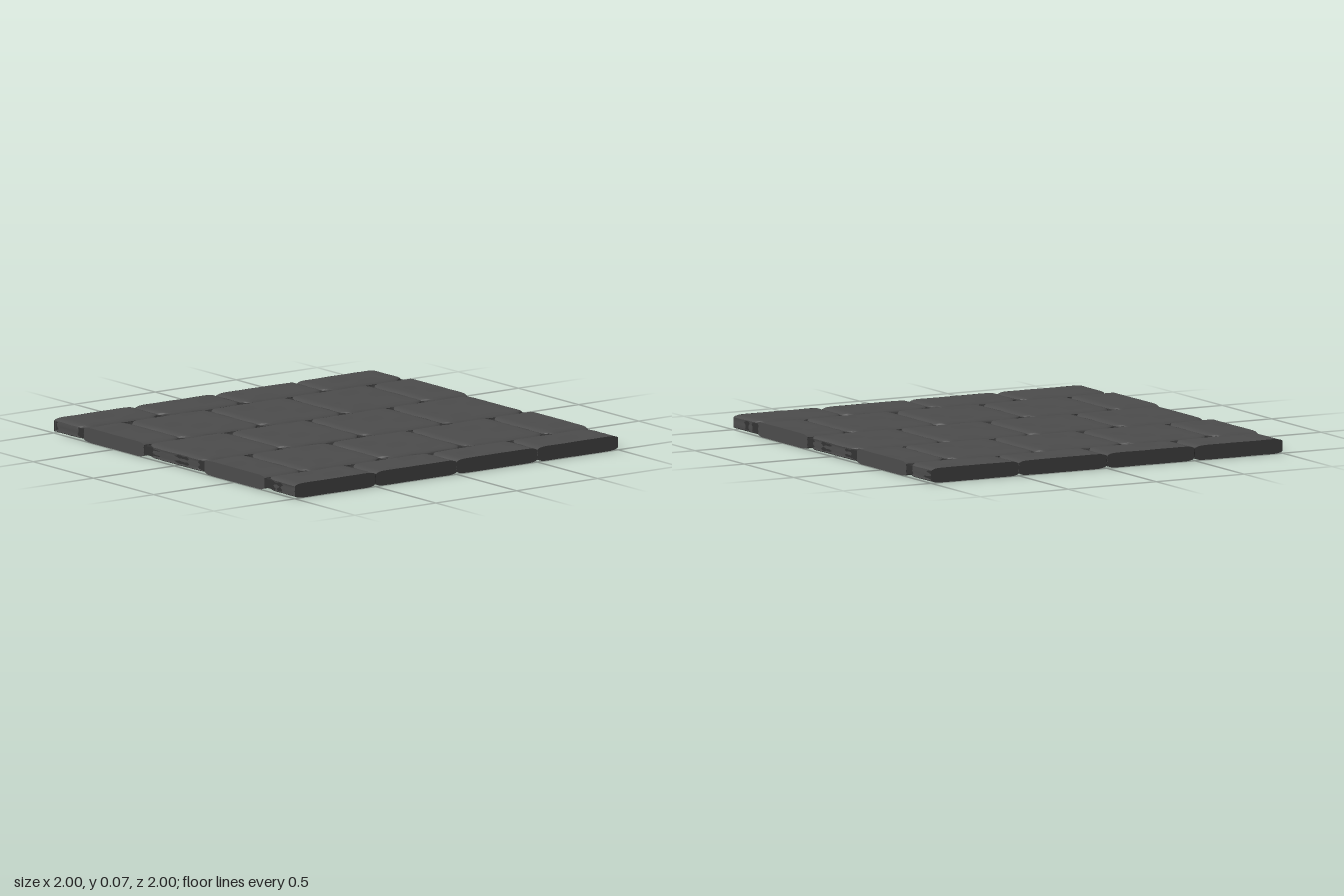
import * as THREE from 'three';
import { toCreasedNormals } from 'three/addons/utils/BufferGeometryUtils.js';

const HALF = 0.0375;      // half the slab thickness
const SIZE = 0.248;       // half the width of a full stone
const CORNER = 0.075;     // corner radius in plan

// smooth repeatable wobble, roughly -1..1
const wobble = (a, b, c) =>
  (Math.sin(a * 31 + b * 7 + c) + Math.sin(a * 67 - b * 13 + c * 2.3) * 0.6) / 1.6;

// rounds the corner region of a square into a quarter disc
function roundCorner(x, z) {
  const inner = SIZE - CORNER;
  const u = Math.max(Math.abs(x) - inner, 0) / CORNER;
  const v = Math.max(Math.abs(z) - inner, 0) / CORNER;
  if (u === 0 || v === 0) return [x, z];
  return [
    Math.sign(x) * (inner + CORNER * u * Math.sqrt(1 - v * v / 2)),
    Math.sign(z) * (inner + CORNER * v * Math.sqrt(1 - u * u / 2)),
  ];
}

// one worn stone; anything beyond the slab border is cut off flat
function stoneGeometry(cx, cz) {
  const geo = new THREE.BoxGeometry(2, 2, 2, 20, 4, 20);
  const p = geo.attributes.position;
  const seed = cx * 5.1 + cz * 8.7;
  const spread = (s) => Math.sign(s) * SIZE * (1 - Math.pow(1 - Math.min(Math.abs(s), 1), 1.5));
  const clamp = (v) => THREE.MathUtils.clamp(v, -1, 1);
  for (let i = 0; i < p.count; i++) {
    const sx = p.getX(i), sy = p.getY(i), sz = p.getZ(i);
    const x0 = spread(sx), z0 = spread(sz);
    const edge = SIZE - Math.max(Math.abs(x0), Math.abs(z0));
    let [x, z] = roundCorner(x0, z0);
    // chipped, layered sides
    const rim = Math.exp(-edge / 0.03);
    const chip = rim * (0.004 * wobble(x + z, z - x, seed) + 0.002 * Math.cos(sy * 7 + seed) - 0.002);
    x += chip * Math.sign(x0) * Math.abs(x0) / SIZE;
    z += chip * Math.sign(z0) * Math.abs(z0) / SIZE;
    // pillowed faces
    const drop = 0.011 * Math.exp(-edge / 0.014) + 0.0008 * (1 + wobble(x * 0.5, z * 2, seed));
    p.setXYZ(i, clamp(cx + x), HALF + sy * (HALF - drop), clamp(cz + z));
  }
  geo.deleteAttribute('uv');
  return toCreasedNormals(geo, 0.7);
}

export function createModel() {
  const group = new THREE.Group();
  group.name = 'stonePavingSlab';
  const stoneMaterial = new THREE.MeshStandardMaterial({ color: 0x4c4c4c });
  const mortarMaterial = new THREE.MeshStandardMaterial({ color: 0x333333 });

  // mortar filling the joints
  const mortar = new THREE.Mesh(new THREE.BoxGeometry(1.988, 0.044, 1.988), mortarMaterial);
  mortar.name = 'mortar';
  mortar.position.y = HALF;
  group.add(mortar);

  // five columns in running bond; border columns hold half stones
  for (let col = -2; col <= 2; col++) {
    const column = new THREE.Group();
    column.name = `stoneColumn${col + 3}`;
    const rows = col % 2 === 0 ? [-0.75, -0.25, 0.25, 0.75] : [-1, -0.5, 0, 0.5, 1];
    rows.forEach((z, i) => {
      const stone = new THREE.Mesh(stoneGeometry(col * 0.5, z), stoneMaterial);
      stone.name = `stone${i + 1}`;
      column.add(stone);
    });
    group.add(column);
  }
  return group;
}
